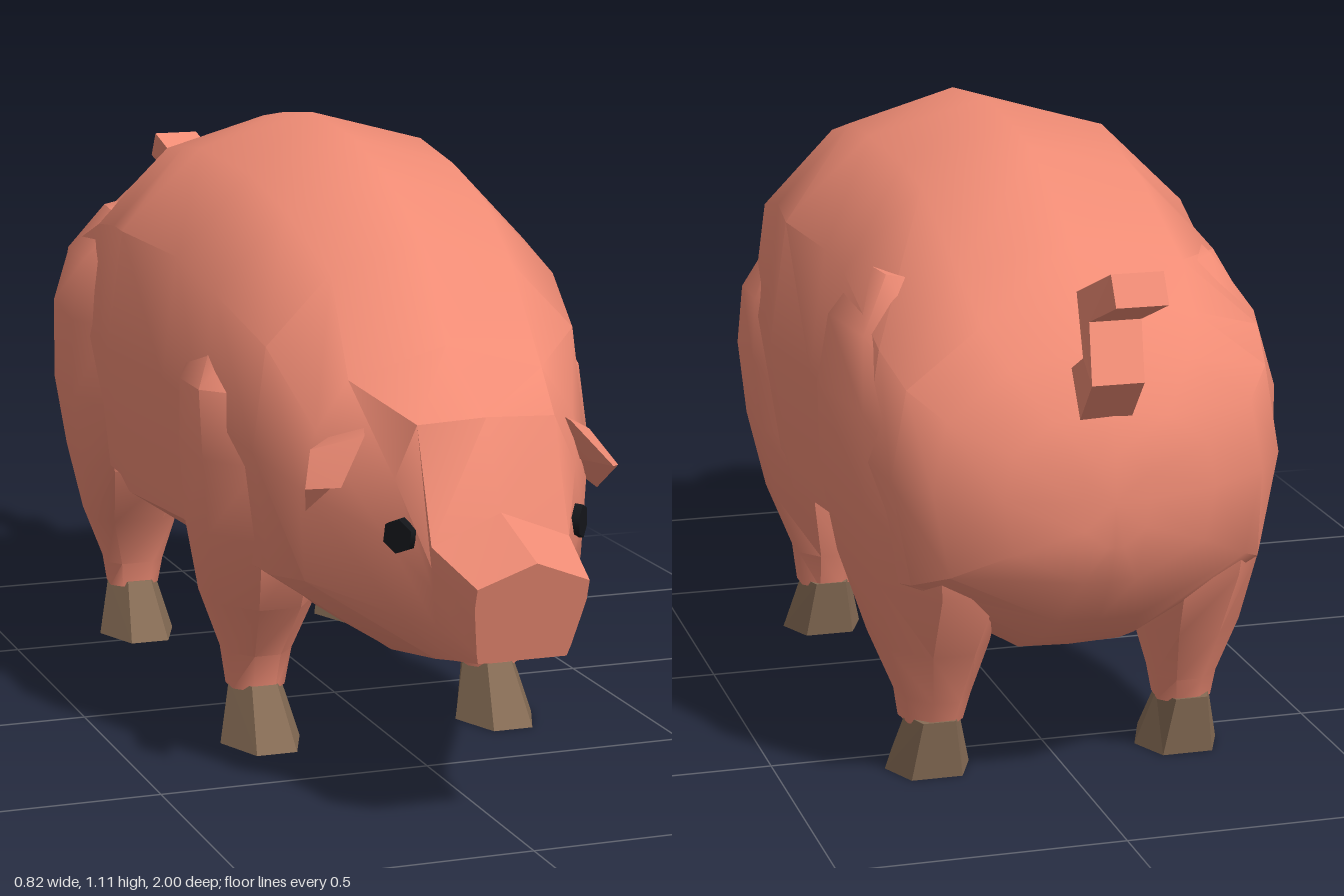
import * as THREE from 'three';
import { toCreasedNormals } from 'three/addons/utils/BufferGeometryUtils.js';

const skin = new THREE.MeshStandardMaterial({ color: 0xf08c75 });
const horn = new THREE.MeshStandardMaterial({ color: 0x866c55 });
const black = new THREE.MeshStandardMaterial({ color: 0x14161a });

const middle = (ring) => ring.reduce((m, p) => m.map((v, k) => v + p[k] / ring.length), [0, 0, 0]);

// Skin over a row of closed rings, capped at both ends; faces are turned outward by signed volume.
function loft(rings, crease, startTip = middle(rings[0]), endTip = middle(rings[rings.length - 1])) {
  const n = rings[0].length, tris = [];
  rings.forEach((ring, r) => {
    for (let i = 0; i < n; i++) {
      const j = (i + 1) % n, next = rings[r + 1];
      if (r === 0) tris.push([startTip, ring[j], ring[i]]);
      if (next) tris.push([ring[i], ring[j], next[j]], [ring[i], next[j], next[i]]);
      else tris.push([endTip, ring[i], ring[j]]);
    }
  });
  const vec = (p) => new THREE.Vector3(...p);
  const volume = tris.reduce((s, [a, b, c]) => s + vec(a).dot(vec(b).cross(vec(c))), 0);
  if (volume < 0) tris.forEach((t) => t.reverse());
  const geo = new THREE.BufferGeometry();
  geo.setAttribute('position', new THREE.Float32BufferAttribute(tris.flat(2), 3));
  geo.computeVertexNormals();
  return crease ? toCreasedNormals(geo, crease) : geo;
}

function add(parent, name, geo, material) {
  const mesh = new THREE.Mesh(geo, material);
  mesh.name = name;
  parent.add(mesh);
  return mesh;
}

// Full ring from a half outline that runs from top centre to bottom centre.
const mirrorRing = (half) => [...half, ...half.slice(1, -1).reverse().map(([x, y, z]) => [-x, y, z])];

function bodyRings() {
  // Head: [z, backward slant, outline x, y ...]
  const head = [
    [1.0, 0.33, [0, 0.495, 0.1, 0.455, 0.1, 0.42, 0.095, 0.39, 0.085, 0.335, 0.08, 0.315, 0, 0.315]],
    [0.84, 0, [0, 0.545, 0.125, 0.495, 0.125, 0.46, 0.122, 0.42, 0.115, 0.355, 0.085, 0.295, 0, 0.29]],
    [0.77, 0, [0, 0.695, 0.125, 0.69, 0.165, 0.6, 0.18, 0.5, 0.15, 0.36, 0.09, 0.28, 0, 0.275]],
    [0.58, 0, [0, 0.785, 0.18, 0.735, 0.24, 0.65, 0.27, 0.55, 0.26, 0.385, 0.1, 0.248, 0, 0.245]],
  ].map(([z, slant, o]) => {
    const half = [];
    for (let i = 0; i < o.length; i += 2) half.push([o[i], o[i + 1], z - slant * (0.495 - o[i + 1])]);
    return mirrorRing(half);
  });
  // Trunk: [z, top, bottom, half width] scaling one shared outline
  const outline = [[0, 1], [0.54, 0.933], [0.92, 0.764], [1, 0.506], [0.9, 0.2], [0.25, 0.005], [0, 0]];
  const trunk = [
    [0.46, 0.95, 0.225, 0.315], [0.28, 1.04, 0.22, 0.355], [0.1, 1.09, 0.22, 0.37],
    [-0.13, 1.11, 0.22, 0.41], [-0.3, 1.09, 0.22, 0.375], [-0.42, 1.07, 0.225, 0.37],
    [-0.66, 0.96, 0.235, 0.368], [-0.76, 0.885, 0.28, 0.345], [-0.83, 0.815, 0.335, 0.29],
    [-0.89, 0.725, 0.42, 0.185], [-0.92, 0.65, 0.49, 0.06],
  ].map(([z, top, low, w]) => mirrorRing(outline.map(([x, t]) => [x * w, low + t * (top - low), z])));
  return [...head, ...trunk];
}

// Leg rows: [y, centre z, half depth, centre x, half width]
const frontLeg = [
  [0.1, 0.215, 0.055, 0.232, 0.05], [0.17, 0.213, 0.072, 0.23, 0.06], [0.28, 0.237, 0.135, 0.235, 0.095],
  [0.42, 0.262, 0.172, 0.24, 0.118], [0.56, 0.275, 0.172, 0.253, 0.118], [0.68, 0.255, 0.14, 0.25, 0.117],
  [0.78, 0.23, 0.08, 0.24, 0.08],
];
const hindLeg = [
  [0.1, -0.595, 0.052, 0.232, 0.05], [0.15, -0.6, 0.067, 0.23, 0.058], [0.25, -0.6, 0.115, 0.235, 0.09],
  [0.38, -0.585, 0.21, 0.24, 0.115], [0.52, -0.58, 0.235, 0.25, 0.128], [0.68, -0.57, 0.235, 0.25, 0.13],
  [0.8, -0.53, 0.18, 0.235, 0.125], [0.89, -0.5, 0.1, 0.21, 0.09],
];
// Eight-sided leg; a squarer front and a splay spread the haunch forward and outward
function legGeometry(rows, s, squareness, splay) {
  const rings = rows.map(([y, z, rz, x, rx]) => Array.from({ length: 8 }, (_, i) => {
    const a = (i + 0.5) * Math.PI / 4, c = 1.08 * Math.cos(a), d = 1.08 * Math.sin(a);
    const round = (v) => (d > 0 ? Math.sign(v) * Math.abs(v) ** squareness : v);
    const dz = round(d) * rz;
    return [s * (x + round(c) * rx + splay * dz), y, z + dz];
  }));
  return loft(rings, 0.85);
}

// Six-sided hoof that flares toward the front of the sole
function hoofGeometry(s, z0) {
  const ring = (y, w, front, back) => [
    [0.5 * w, front], [w, 0.3 * front + 0.7 * back + 0.02], [0.6 * w, back],
    [-0.6 * w, back], [-w, 0.3 * front + 0.7 * back + 0.02], [-0.5 * w, front],
  ].map(([x, z]) => [s * (0.232 + x), y, z0 + z]);
  return loft([ring(0, 0.077, 0.128, -0.042), ring(0.11, 0.049, 0.057, -0.06)]);
}

// Cupped leaf: one rim with a hollow in front and a bulge behind
function earGeometry(s) {
  const side = ([x, y, z]) => [s * x, y, z];
  const rim = [[0.165, 0.68, 0.61], [0.19, 0.66, 0.69], [0.25, 0.585, 0.74], [0.29, 0.57, 0.67],
    [0.272, 0.52, 0.62], [0.235, 0.555, 0.56], [0.2, 0.63, 0.565]].map(side);
  return loft([rim], 0.6, side([0.21, 0.585, 0.65]), side([0.26, 0.625, 0.61]));
}

export function createModel() {
  const pig = new THREE.Group();
  pig.name = 'pig';
  add(pig, 'body', loft(bodyRings(), 0.72), skin);

  for (const s of [1, -1]) {
    const label = s > 0 ? 'left' : 'right';
    [['Front', frontLeg, 0.215, 1, 0], ['Hind', hindLeg, -0.595, 0.65, 0.11]].forEach(([end, rows, z, square, splay]) => {
      add(pig, `${label}${end}Leg`, legGeometry(rows, s, square, splay), skin);
      add(pig, `${label}${end}Hoof`, hoofGeometry(s, z), horn);
    });
    add(pig, `${label}Ear`, earGeometry(s), skin);

    // Hexagonal eye set flush in the slanted cheek
    const eye = add(pig, `${label}Eye`, new THREE.CylinderGeometry(0.03, 0.032, 0.02, 6).toNonIndexed(), black);
    eye.position.set(s * 0.162, 0.507, 0.79);
    eye.quaternion.setFromUnitVectors(new THREE.Vector3(0, 1, 0), new THREE.Vector3(s * 0.79, 0, 0.61).normalize());
  }

  // Zigzag tail: [centre x, rear y, rear z, front y, front z]
  const tail = [
    [0.01, 0.7, -0.885, 0.78, -0.835], [0.015, 0.785, -0.97, 0.82, -0.92],
    [0.005, 0.88, -0.92, 0.915, -0.85], [-0.015, 0.92, -1.0, 0.97, -0.97],
  ].map(([x, y1, z1, y2, z2]) => [
    [x - 0.045, y1, z1], [x + 0.045, y1, z1], [x + 0.045, y2, z2], [x - 0.045, y2, z2]]);
  add(pig, 'tail', loft(tail), skin);
  return pig;
}
